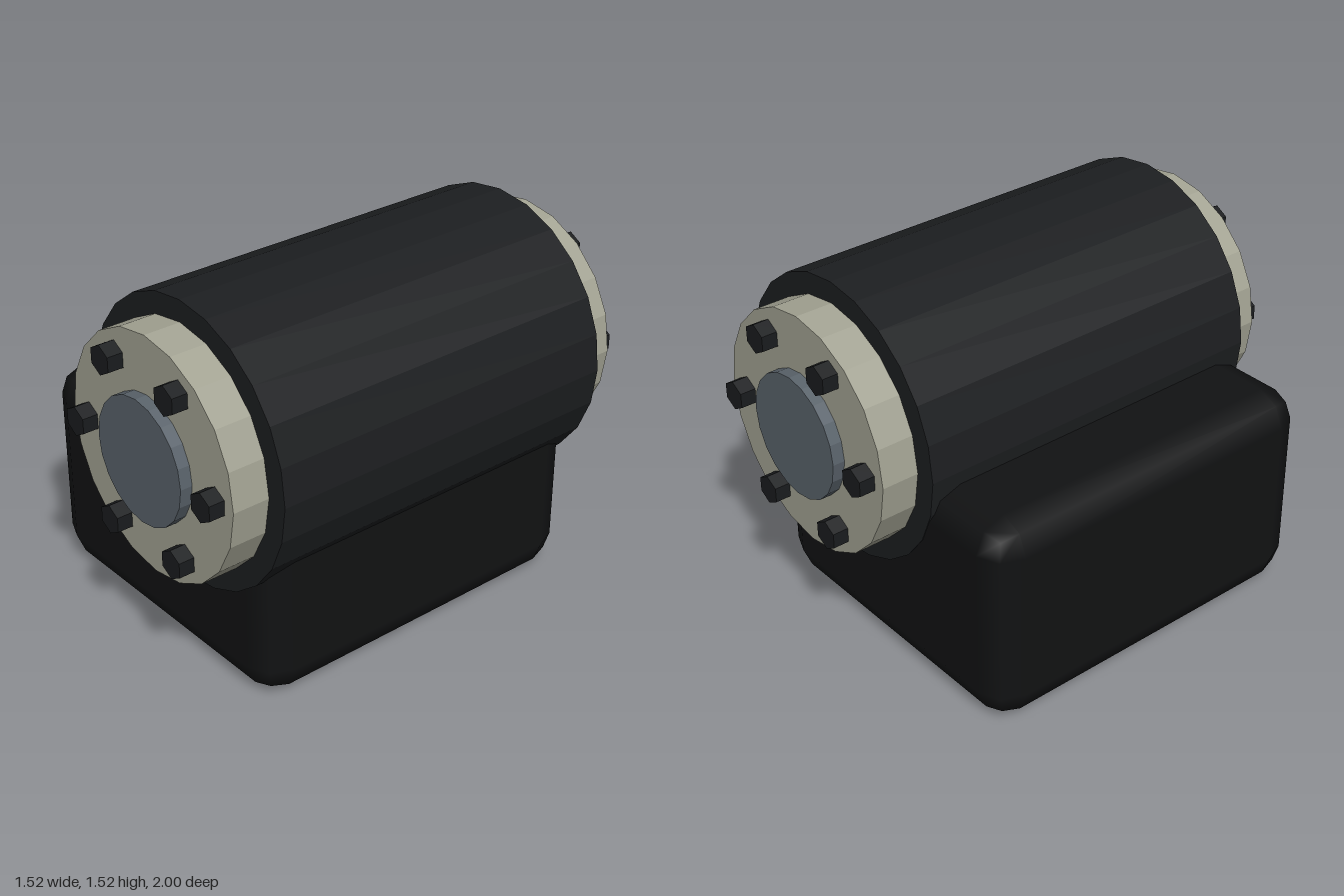
import * as THREE from 'three';
import { RoundedBoxGeometry } from 'three/addons/geometries/RoundedBoxGeometry.js';

const AXIS = { x: 0.18, y: 0.94 };

const material = (color, flatShading = true) =>
  new THREE.MeshStandardMaterial({ color, flatShading });

// Cylinder lying along z, spanning z0 to z1
function barrel(name, radius, sides, z0, z1, mat, x = 0, y = 0) {
  const geometry = new THREE.CylinderGeometry(radius, radius, z1 - z0, sides);
  geometry.rotateX(Math.PI / 2);
  const mesh = new THREE.Mesh(geometry, mat);
  mesh.name = name;
  mesh.position.set(x, y, (z0 + z1) / 2);
  return mesh;
}

export function createModel() {
  const model = new THREE.Group();
  model.name = 'bearingHousing';

  const housingMat = material(0x1c1e20);
  const flangeMat = material(0xa3a393);
  const shaftMat = material(0x5a636b);
  const boltMat = material(0x1a1c1e);

  // Base block with two-facet rounded edges
  const base = new THREE.Mesh(
    new RoundedBoxGeometry(1.405, 0.88, 1.556, 1, 0.127),
    material(0x111213, false)
  );
  base.name = 'baseBlock';
  base.position.set(-0.057, 0.44, 0);
  model.add(base);

  // Main cylindrical housing
  model.add(barrel('housing', 0.578, 24, -0.781, 0.781, housingMat, AXIS.x, AXIS.y));

  // Matching end caps, front and back
  for (const [side, turn] of [['front', 0], ['back', Math.PI]]) {
    const cap = new THREE.Group();
    cap.name = side + 'EndCap';
    cap.position.set(AXIS.x, AXIS.y, 0);
    cap.rotation.y = turn;
    cap.add(barrel('flange', 0.49, 20, 0.74, 0.935, flangeMat));
    cap.add(barrel('shaftEnd', 0.254, 20, 0.9, 0.985, shaftMat));

    // Ring of six hexagonal bolts
    for (let i = 0; i < 6; i++) {
      const a = (i * Math.PI) / 3;
      cap.add(barrel('bolt', 0.061, 6, 0.91, 1, boltMat,
        0.387 * Math.cos(a), 0.387 * Math.sin(a)));
    }
    model.add(cap);
  }

  return model;
}
